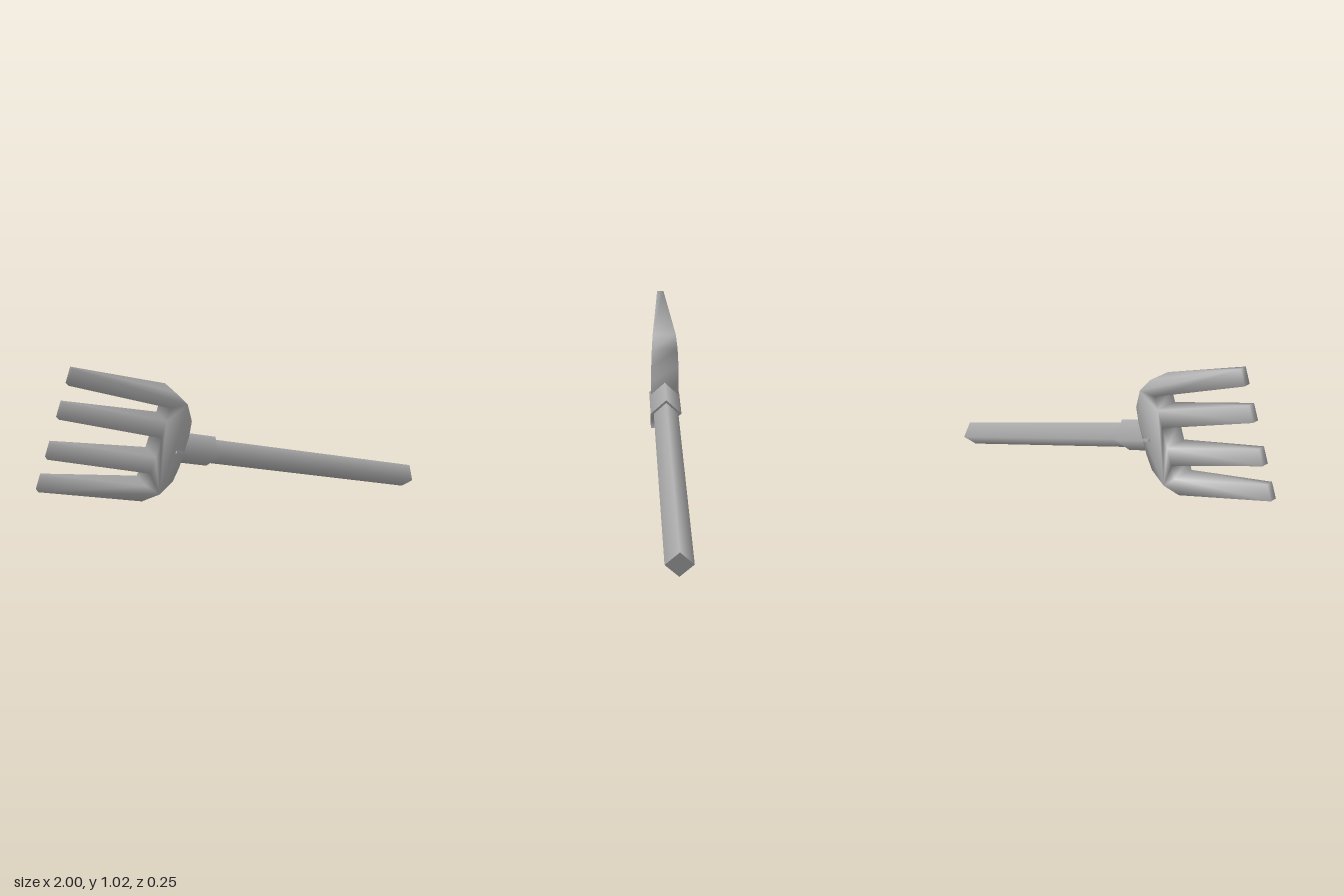
import * as THREE from 'three';
import { mergeVertices } from 'three/addons/utils/BufferGeometryUtils.js';

const steel = new THREE.MeshStandardMaterial({ color: 0xb0b0b0 });
steel.name = 'grey';

const TIP = -0.8; // tine ends along the fork's own axis
const SLOT = -0.31; // closed end of the gaps between tines

// Four-sided bar along the local x axis, edges facing up, down, front and back
function bar(name, radius, from, to) {
  const geo = new THREE.CylinderGeometry(radius, radius, to - from, 4);
  geo.rotateZ(-Math.PI / 2);
  geo.translate((from + to) / 2, 0, 0);
  const mesh = new THREE.Mesh(geo, steel);
  mesh.name = name;
  return mesh;
}

// Head: half outline from the middle of the shoulder to the middle gap, mirrored
function forkHead() {
  const half = [
    [-0.18, 0.075], [-0.19, 0.15], [-0.235, 0.225], [SLOT, 0.27],
    [TIP, 0.29], [TIP, 0.215], [SLOT, 0.193],
    [SLOT, 0.13], [TIP, 0.133], [TIP, 0.057], [SLOT, 0.047],
  ];
  const mirrored = half.map(([x, y]) => [x, -y]).reverse();
  const shape = new THREE.Shape([...half, ...mirrored].map(([x, y]) => new THREE.Vector2(x, y)));
  let geo = new THREE.ExtrudeGeometry(shape, { depth: 2, bevelEnabled: false });
  geo.translate(0, 0, -1);

  // Thin the slab evenly towards the tine tips
  const p = geo.attributes.position;
  for (let i = 0; i < p.count; i++) {
    p.setZ(i, p.getZ(i) * (0.017 + (p.getX(i) - TIP) * 0.083));
  }

  // Share corners so the shading runs softly round the edges
  geo.deleteAttribute('normal');
  geo.deleteAttribute('uv');
  geo = mergeVertices(geo, 1e-4);
  geo.computeVertexNormals();
  const mesh = new THREE.Mesh(geo, steel);
  mesh.name = 'tinedHead';
  mesh.position.y = 0.007;
  return mesh;
}

export function createModel() {
  const fork = new THREE.Group();
  fork.name = 'handFork';
  fork.add(bar('handle', 0.06, -0.05, 1.205), bar('socket', 0.075, -0.22, 0), forkHead());

  // Tilt the whole fork: handle low on the left, tines high on the right
  const along = new THREE.Vector3(0.937, -0.34, 0.083).normalize();
  const across = new THREE.Vector3(0.34, 0.94, 0.03);
  across.addScaledVector(along, -across.dot(along)).normalize();
  const depth = new THREE.Vector3().crossVectors(along, across);
  fork.quaternion.setFromRotationMatrix(new THREE.Matrix4().makeBasis(along, across, depth));
  fork.position.set(-0.15, 0.47, -0.03);

  const model = new THREE.Group();
  model.name = 'gardenFork';
  model.add(fork);
  return model;
}
